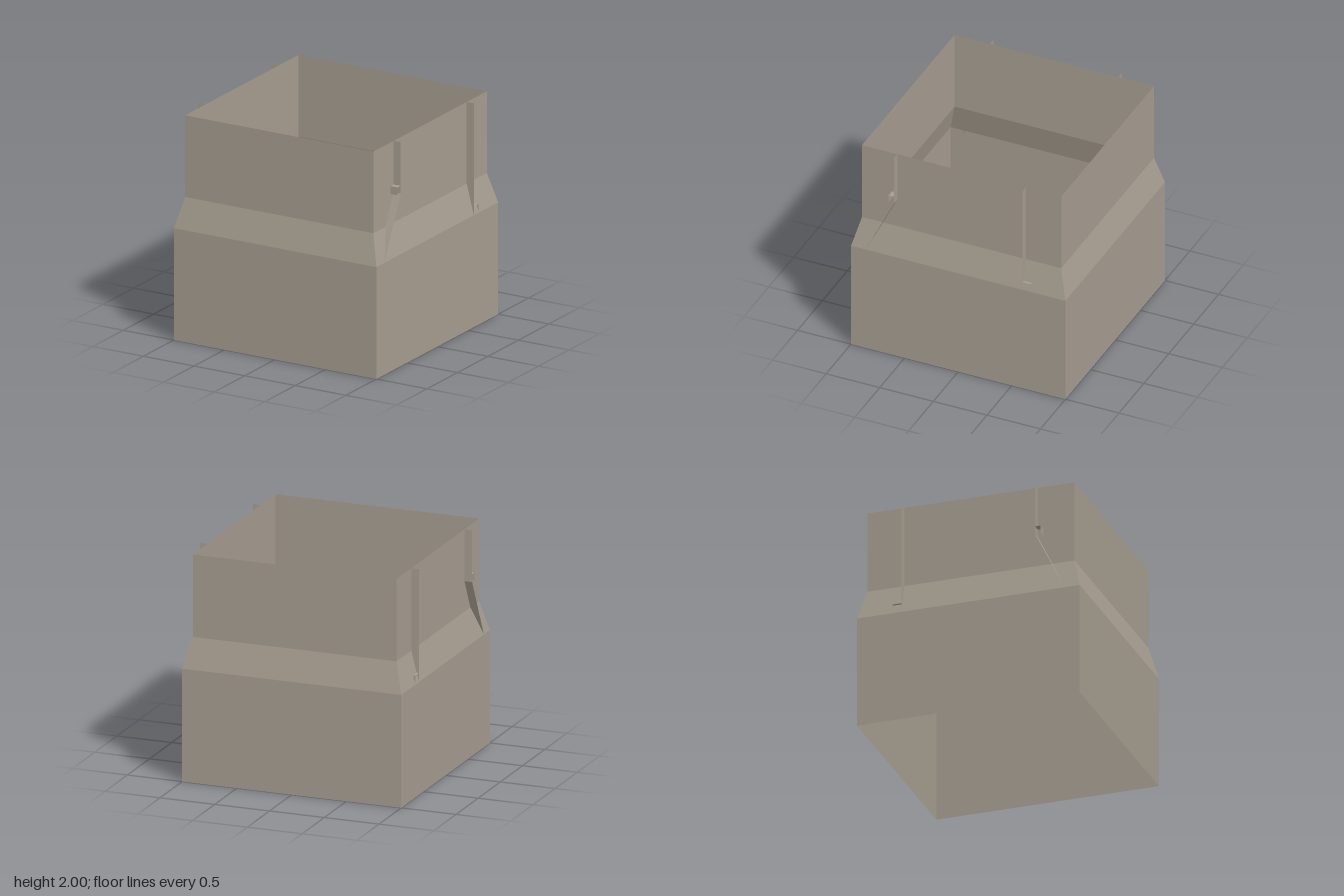
import * as THREE from 'three';

const concrete = new THREE.MeshStandardMaterial({ color: 0xa69d90, side: THREE.DoubleSide });
concrete.name = 'warm grey';

const INNER = 0.93, OUTER = 1;

// Flat-faced mesh, open on both sides
function flatMesh(geometry, name) {
  const flat = geometry.toNonIndexed();
  flat.computeVertexNormals();
  const mesh = new THREE.Mesh(flat, concrete);
  mesh.name = name;
  return mesh;
}

// Ribbon spanning INNER..OUTER in x and following [z, y] points
function strip(points, side, name) {
  const geometry = new THREE.PlaneGeometry(1, 1, 1, points.length - 1);
  const pos = geometry.attributes.position;
  for (let i = 0; i < pos.count; i++) {
    const [z, y] = points[Math.floor(i / 2)];
    pos.setXYZ(i, side * (i % 2 ? OUTER : INNER), y, z);
  }
  return flatMesh(geometry, name);
}

export function createModel() {
  const model = new THREE.Group();
  model.name = 'squareShaft';

  // Open square shell that steps in through a sloped band
  const profile = [[OUTER, 0], [OUTER, 1], [INNER, 1.27], [INNER, 2]]
    .map(([half, y]) => new THREE.Vector2(half * Math.SQRT2, y));
  model.add(flatMesh(new THREE.LatheGeometry(profile, 4, Math.PI / 4), 'walls'));

  // Thin fins on both side walls
  for (const side of [-1, 1]) {
    const fins = new THREE.Group();
    fins.name = side > 0 ? 'leftFins' : 'rightFins';
    fins.add(
      strip([[0.6, 2], [0.6, 1.54], [0.865, 1]], side, 'frontFin'),
      strip([[0.6, 1.61], [0.65, 1.61], [0.65, 1.54]], side, 'frontFinHook'),
      strip([[-0.6, 2], [-0.6, 1]], side, 'rearFin'),
      strip([[-0.6, 1.08], [-0.68, 1.08], [-0.68, 1.02]], side, 'rearFinHook'),
    );
    model.add(fins);
  }
  return model;
}
